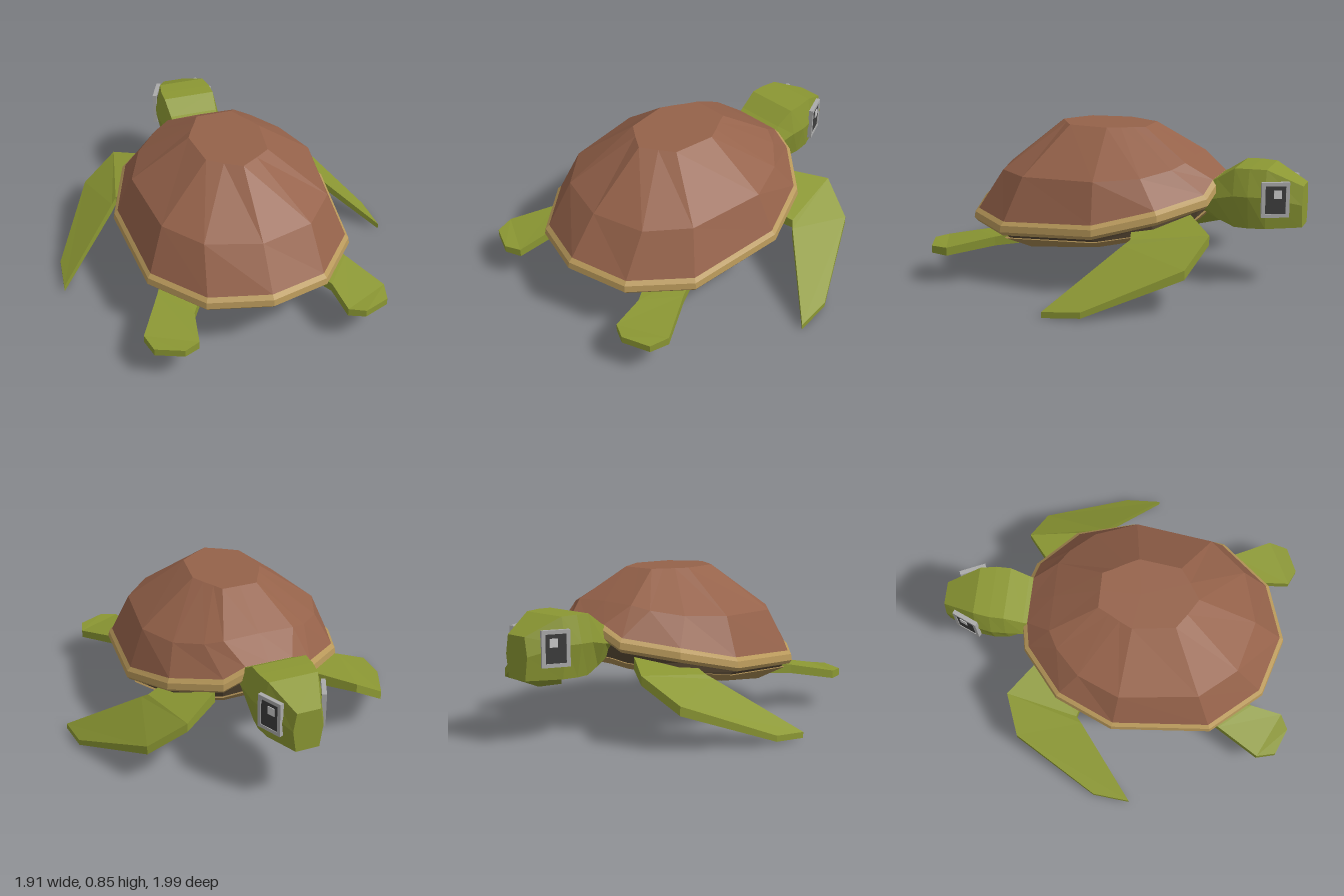
import * as THREE from 'three';

const GREEN = 0x8b9733, BROWN = 0x95624a, TAN = 0xb8985a, BELLY = 0xa38650, DARK = 0x554632;

function mat(color) {
  return new THREE.MeshStandardMaterial({ color, flatShading: true });
}

// Closed loft through equal-length rings of [x, y, z], with fan caps at both ends
function loft(name, rings, color) {
  const tris = [], n = rings[0].length;
  for (let r = 0; r < rings.length - 1; r++) {
    for (let i = 0; i < n; i++) {
      const j = (i + 1) % n, a = rings[r], b = rings[r + 1];
      tris.push([a[i], a[j], b[j]], [a[i], b[j], b[i]]);
    }
  }
  const cap = (ring, flip) => {
    const c = [0, 1, 2].map(k => ring.reduce((s, p) => s + p[k], 0) / n);
    ring.forEach((p, i) => {
      const q = ring[(i + 1) % n];
      tris.push(flip ? [c, q, p] : [c, p, q]);
    });
  };
  cap(rings[0], true);
  cap(rings[rings.length - 1], false);
  // Turn all faces outward by the sign of the enclosed volume
  const v = p => new THREE.Vector3(...p);
  const volume = tris.reduce((s, [a, b, c]) => s + v(a).dot(v(b).cross(v(c))), 0);
  if (volume < 0) tris.forEach(t => t.reverse());
  const geo = new THREE.BufferGeometry();
  geo.setAttribute('position', new THREE.Float32BufferAttribute(tris.flat(2), 3));
  geo.computeVertexNormals();
  const mesh = new THREE.Mesh(geo, mat(color));
  mesh.name = name;
  return mesh;
}

// Half outline, front centre to back centre, completed by mirroring in x
function ring(half) {
  const other = half.slice(1, -1).reverse().map(([x, y, z]) => [-x, y, z]);
  return [...half, ...other];
}

// Slab through [leading point, trailing point] pairs on its upper face
function flipper(name, pairs, side) {
  const rings = pairs.map(([a, b, t]) => [
    a, b, [b[0], b[1] - t, b[2]], [a[0], a[1] - t, a[2]],
  ].map(([x, y, z]) => [x * side, y, z]));
  return loft(name, rings, GREEN);
}

function eye(side) {
  const g = new THREE.Group();
  g.name = side > 0 ? 'leftEye' : 'rightEye';
  const box = (name, t, h, l, x, y, z, color) => {
    const m = new THREE.Mesh(new THREE.BoxGeometry(t, h, l), mat(color));
    m.position.set(x * side, y, z);
    m.name = name;
    g.add(m);
  };
  // Frame bars around a dark iris with a light glint
  for (const s of [-1, 1]) {
    box('eyeFrameBar', 0.024, 0.02, 0.15, 0, s * 0.085, 0, 0xaaaaaa);
    box('eyeFrameBar', 0.024, 0.15, 0.02, 0, 0, s * 0.065, 0xaaaaaa);
  }
  box('iris', 0.016, 0.15, 0.11, 0, 0, 0, 0x3c3c3c);
  box('glint', 0.02, 0.045, 0.042, 0.002, 0.03, -0.012, 0xcccccc);
  g.position.set(side * 0.146, 0.505, -0.862);
  g.rotation.y = side * 0.42;
  return g;
}

export function createModel() {
  const model = new THREE.Group();
  model.name = 'turtle';

  // Shell rings: lower and upper edge of the rim, dome foot, shoulder and crown
  const edge = [[0, 0.53, -0.545], [0.14, 0.53, -0.545], [0.26, 0.47, -0.525], [0.5, 0.42, -0.32],
    [0.625, 0.345, 0], [0.57, 0.305, 0.55], [0.33, 0.305, 0.83], [0, 0.325, 0.93]];
  const shift = (k, dy) => edge.map(([x, y, z]) => [x * k, y + dy, 0.19 + (z - 0.19) * k]);
  const foot = shift(0.962, 0.055);
  const shoulder = [[0, 0.685, -0.38], [0.2, 0.68, -0.38], [0.29, 0.655, -0.33], [0.42, 0.625, -0.2],
    [0.515, 0.61, 0.03], [0.46, 0.595, 0.46], [0.29, 0.588, 0.66], [0, 0.585, 0.74]];
  const crown = [[0, 0.845, -0.12], [0.1, 0.845, -0.12], [0.13, 0.845, -0.06], [0.165, 0.845, 0],
    [0.2, 0.845, 0.07], [0.17, 0.845, 0.3], [0.09, 0.845, 0.355], [0, 0.845, 0.41]];
  model.add(loft('shellDome', [foot, shoulder, crown].map(ring), BROWN));
  model.add(loft('shellRim', [shift(0.93, -0.015), shift(0.975, -0.02), edge, shift(0.992, 0.035),
    foot].map(ring), TAN));

  // Belly plate and the recess between it and the rim
  const bellyTop = [[0, 0.4, -0.475], [0.14, 0.4, -0.475], [0.24, 0.385, -0.46], [0.46, 0.345, -0.3],
    [0.58, 0.3, 0], [0.53, 0.262, 0.53], [0.3, 0.262, 0.78], [0, 0.265, 0.86]];
  const bellyLow = [[0, 0.365, -0.45], [0.12, 0.365, -0.45], [0.22, 0.35, -0.43], [0.42, 0.31, -0.28],
    [0.51, 0.26, 0], [0.42, 0.195, 0.43], [0.24, 0.19, 0.56], [0, 0.192, 0.6]];
  model.add(loft('bellyPlate', [bellyTop, bellyLow].map(ring), BELLY));
  model.add(loft('shellRecess', [shift(0.93, 0), shift(0.92, -0.03),
    bellyTop.map(([x, y, z]) => [x * 0.97, y, z * 0.97])].map(ring), DARK));

  // Head and neck: z, top y, bottom y, half widths at top, cheek and jaw
  const sections = [
    [-0.42, 0.54, 0.41, 0.12, 0.15, 0.08], [-0.54, 0.595, 0.365, 0.14, 0.17, 0.11],
    [-0.64, 0.66, 0.335, 0.15, 0.183, 0.14], [-0.72, 0.662, 0.336, 0.15, 0.186, 0.15],
    [-0.81, 0.66, 0.338, 0.135, 0.168, 0.14], [-0.995, 0.57, 0.345, 0.065, 0.083, 0.065],
  ];
  model.add(loft('head', sections.map(([z, top, low, a, b, c]) => {
    const mid = low + (top - low) * 0.55;
    return [[a, top, z], [b, mid, z], [c, low, z], [-c, low, z], [-b, mid, z], [-a, top, z]];
  }), GREEN));

  // Paired limbs and eyes
  for (const side of [1, -1]) {
    const label = side > 0 ? 'left' : 'right';
    model.add(flipper(label + 'FrontFlipper', [
      [[0.27, 0.42, -0.43], [0.44, 0.37, -0.16], 0.07],
      [[0.49, 0.375, -0.6], [0.57, 0.335, -0.2], 0.05],
      [[0.69, 0.24, -0.53], [0.6, 0.31, -0.17], 0.05],
      [[0.94, 0.048, -0.07], [0.957, 0.032, 0.135], 0.032],
    ], side));
    model.add(flipper(label + 'RearFlipper', [
      [[0.46, 0.29, 0.45], [0.27, 0.27, 0.6], 0.06],
      [[0.53, 0.265, 0.6], [0.38, 0.25, 0.78], 0.05],
      [[0.662, 0.215, 0.83], [0.405, 0.215, 0.955], 0.045],
      [[0.635, 0.21, 0.935], [0.49, 0.215, 0.995], 0.04],
    ], side));
    model.add(eye(side));
  }
  return model;
}
